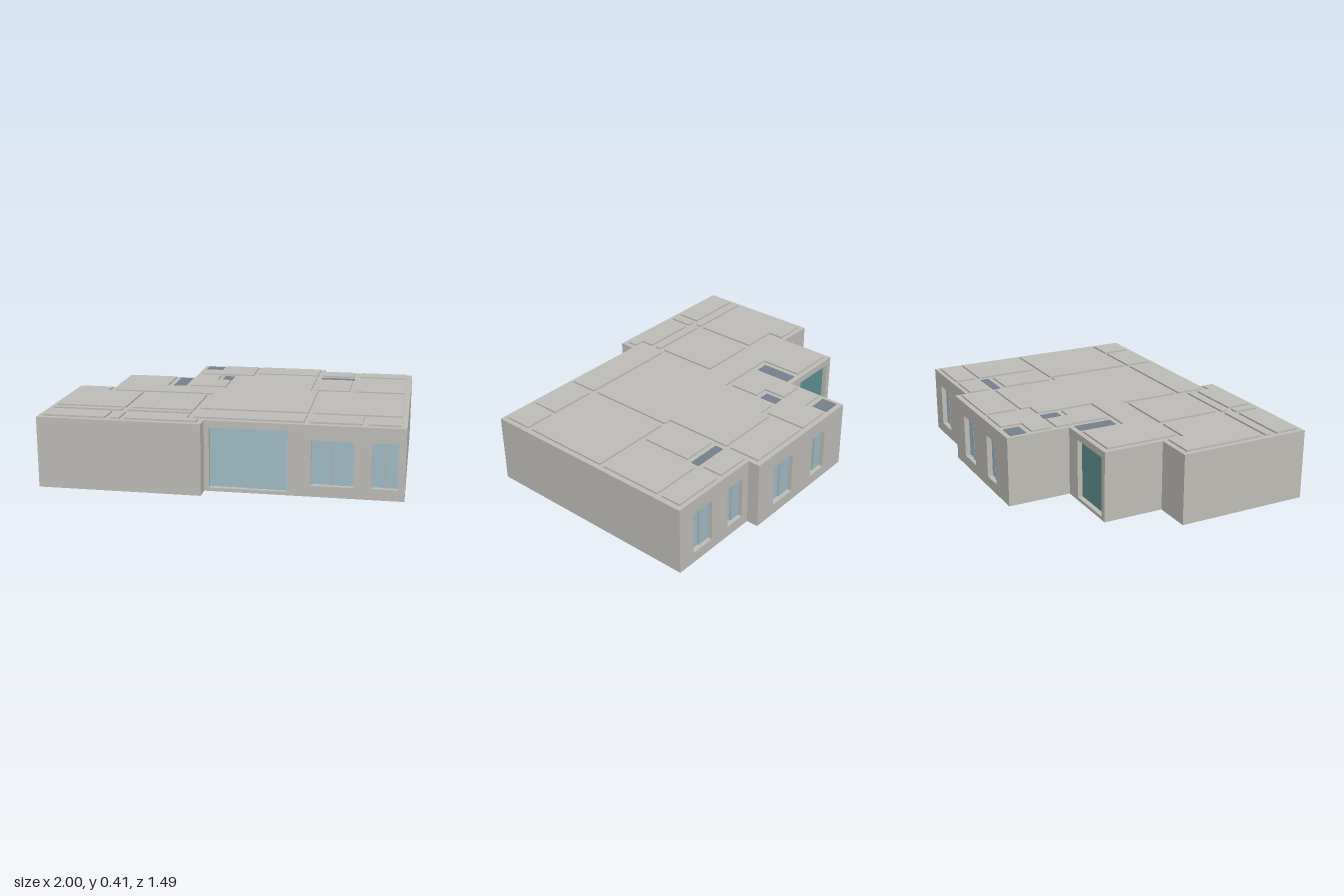
import * as THREE from 'three';

const mat = (name, color) => {
  const m = new THREE.MeshStandardMaterial({ color });
  m.name = name;
  return m;
};

export function createModel() {
  const house = new THREE.Group();
  house.name = 'house';
  const concrete = mat('concrete', 0xbfbdb8);
  const glass = mat('window glass', 0xa0bcc6);
  const frame = mat('window frame', 0xaab6b9);
  const teal = mat('teal door', 0x5f9092);
  const slate = mat('slate shaft cover', 0x75818b);

  const BASE = 0.02, ROOF = 0.4, SLAB = 0.015, PANEL = 0.01, WALL = 0.035;

  const add = (parent, name, geometry, material) => {
    const mesh = new THREE.Mesh(geometry, material);
    mesh.name = name;
    parent.add(mesh);
    return mesh;
  };

  // Flat plate cut to a plan of [x, z] points
  const plate = (name, points, bottom, top, material) => {
    const shape = new THREE.Shape(points.map(([x, z]) => new THREE.Vector2(x, z)));
    const geo = new THREE.ExtrudeGeometry(shape, { depth: top - bottom, bevelEnabled: false });
    geo.rotateX(Math.PI / 2).translate(0, top, 0);
    return add(house, name, geo, material);
  };
  const rect = (x0, z0, x1, z1) => [[x0, z0], [x1, z0], [x1, z1], [x0, z1]];

  // Footprint: front towards +x, then right, back and left
  const plan = [
    [-1, 0.74], [-0.085, 0.74], [-0.085, 0.65], [1, 0.65], [1, -0.68], [0.44, -0.68],
    [0.44, -0.75], [-0.36, -0.75], [-0.36, -0.38], [-0.78, -0.38], [-0.78, -0.03], [-1, -0.03],
  ];
  plate('floorSlab', plan, 0, BASE, concrete);
  plate('roofSlab', plan, ROOF - SLAB, ROOF, concrete);

  // Openings by wall index: kind, x range, y range
  const win = (x0, x1) => ({ kind: 'window', x0, x1, y0: 0.063, y1: 0.315 });
  const door = (kind, x0, x1) => ({ kind, x0, x1, y0: BASE, y1: 0.36 });
  const openings = {
    2: [door('slidingDoor', -0.058, 0.37), win(0.497, 0.727), win(0.822, 0.96)],
    4: [win(0.745, 0.895), win(0.49, 0.615)],
    6: [win(0.13, 0.3), win(-0.18, -0.055)],
    8: [door('backDoor', -0.755, -0.462)],
  };

  // Two overlapping panes, one slightly behind the other
  const fillOpening = (wall, o, u0, u1) => {
    const w = u1 - u0, h = o.y1 - o.y0, mid = (u0 + u1) / 2, y = (o.y0 + o.y1) / 2;
    const box = (name, u, z, width, depth, material) =>
      add(wall, name, new THREE.BoxGeometry(width, h, depth), material).position.set(u, y, z);
    if (o.kind === 'backDoor') {
      box('backDoorPanel', mid, 0.004, w, 0.006, teal);
      return;
    }
    box(o.kind + 'RearPane', mid - w / 4, 0.003, w / 2 + 0.01, 0.004, glass);
    box(o.kind + 'FrontPane', mid + w / 4, 0.009, w / 2, 0.004, glass);
    if (o.kind === 'window') box('windowMullion', mid, 0.009, 0.01, 0.009, frame);
  };

  // One wall along each side of the footprint, with its openings
  plan.forEach(([ax, az], i) => {
    if (i === 1) { /* short return between the two front walls */ }
    const [bx, bz] = plan[(i + 1) % plan.length];
    const len = Math.hypot(bx - ax, bz - az);
    const dx = (bx - ax) / len, dz = (bz - az) / len;
    const nx = -dz, nz = dx;
    const wall = new THREE.Group();
    wall.name = 'wall' + (i + 1);
    wall.position.set(ax - nx * WALL, 0, az - nz * WALL);
    wall.rotation.y = Math.atan2(nx, nz);
    house.add(wall);

    const top = ROOF - SLAB;
    const list = (openings[i] || []).map((o) => {
      const u = [(o.x0 - ax) * dx, (o.x1 - ax) * dx].sort((a, b) => a - b);
      return { o, u0: u[0], u1: u[1] };
    }).sort((a, b) => a.u0 - b.u0);

    // Doors notch the lower edge, windows are holes
    const shape = new THREE.Shape();
    shape.moveTo(0, BASE);
    for (const { o, u0, u1 } of list) {
      if (o.y0 > BASE) continue;
      shape.lineTo(u0, BASE).lineTo(u0, o.y1).lineTo(u1, o.y1).lineTo(u1, BASE);
    }
    shape.lineTo(len, BASE).lineTo(len, top).lineTo(0, top).closePath();
    for (const { o, u0, u1 } of list) {
      if (o.y0 <= BASE) continue;
      shape.holes.push(new THREE.Path([[u0, o.y0], [u0, o.y1], [u1, o.y1], [u1, o.y0]]
        .map(([u, v]) => new THREE.Vector2(u, v))));
    }
    add(wall, 'wallPanel', new THREE.ExtrudeGeometry(shape, { depth: WALL, bevelEnabled: false }), concrete);
    list.forEach(({ o, u0, u1 }) => fillOpening(wall, o, u0, u1));
  });

  // Raised roof panels, one above each room
  const panels = [
    rect(0.025, -0.72, 0.41, -0.535),
    rect(0.44, -0.655, 0.64, -0.535),
    rect(0.675, -0.655, 0.97, -0.535),
    rect(0.44, -0.425, 0.64, -0.13),
    rect(0.675, -0.505, 0.97, -0.13),
    rect(0.485, -0.1, 0.97, 0.425),
    rect(-0.535, 0.095, -0.18, 0.47),
    rect(-0.97, 0.5, -0.575, 0.535),
    rect(-0.545, 0.5, -0.18, 0.535),
    rect(-0.97, 0.57, -0.62, 0.71),
    rect(-0.59, 0.57, -0.54, 0.71),
    rect(-0.15, 0.455, 0.455, 0.62),
    rect(0.485, 0.455, 0.765, 0.62),
    rect(0.795, 0.455, 0.97, 0.62),
    [[-0.2, -0.72], [0, -0.72], [0, -0.475], [-0.335, -0.475], [-0.335, -0.595], [-0.2, -0.595]],
    [[-0.335, -0.445], [-0.2, -0.445], [-0.2, -0.31], [-0.115, -0.31], [-0.115, -0.13], [-0.335, -0.13]],
    [[-0.97, 0], [-0.785, 0], [-0.785, 0.095], [-0.57, 0.095], [-0.57, 0.47], [-0.97, 0.47]],
    [[-0.51, 0.57], [-0.18, 0.57], [-0.18, 0.65], [-0.115, 0.65], [-0.115, 0.71], [-0.51, 0.71]],
    [[0.025, -0.505], [0.41, -0.505], [0.41, -0.1], [0.455, -0.1], [0.455, 0.425], [-0.15, 0.425],
      [-0.15, 0.065], [-0.75, 0.065], [-0.75, -0.35], [-0.47, -0.35], [-0.47, -0.1], [-0.085, -0.1],
      [-0.085, -0.445], [0.025, -0.445]],
  ];
  panels.forEach((p, i) => plate('roofPanel' + (i + 1), p, ROOF, ROOF + PANEL, concrete));

  // Dark covers over the shafts
  [
    rect(-0.335, -0.72, -0.23, -0.625),
    rect(0.44, -0.505, 0.645, -0.455),
    rect(-0.175, -0.445, -0.115, -0.34),
    rect(-0.44, -0.35, -0.365, -0.13),
  ].forEach((p, i) => plate('shaftCover' + (i + 1), p, ROOF, ROOF + 0.003, slate));

  return house;
}
